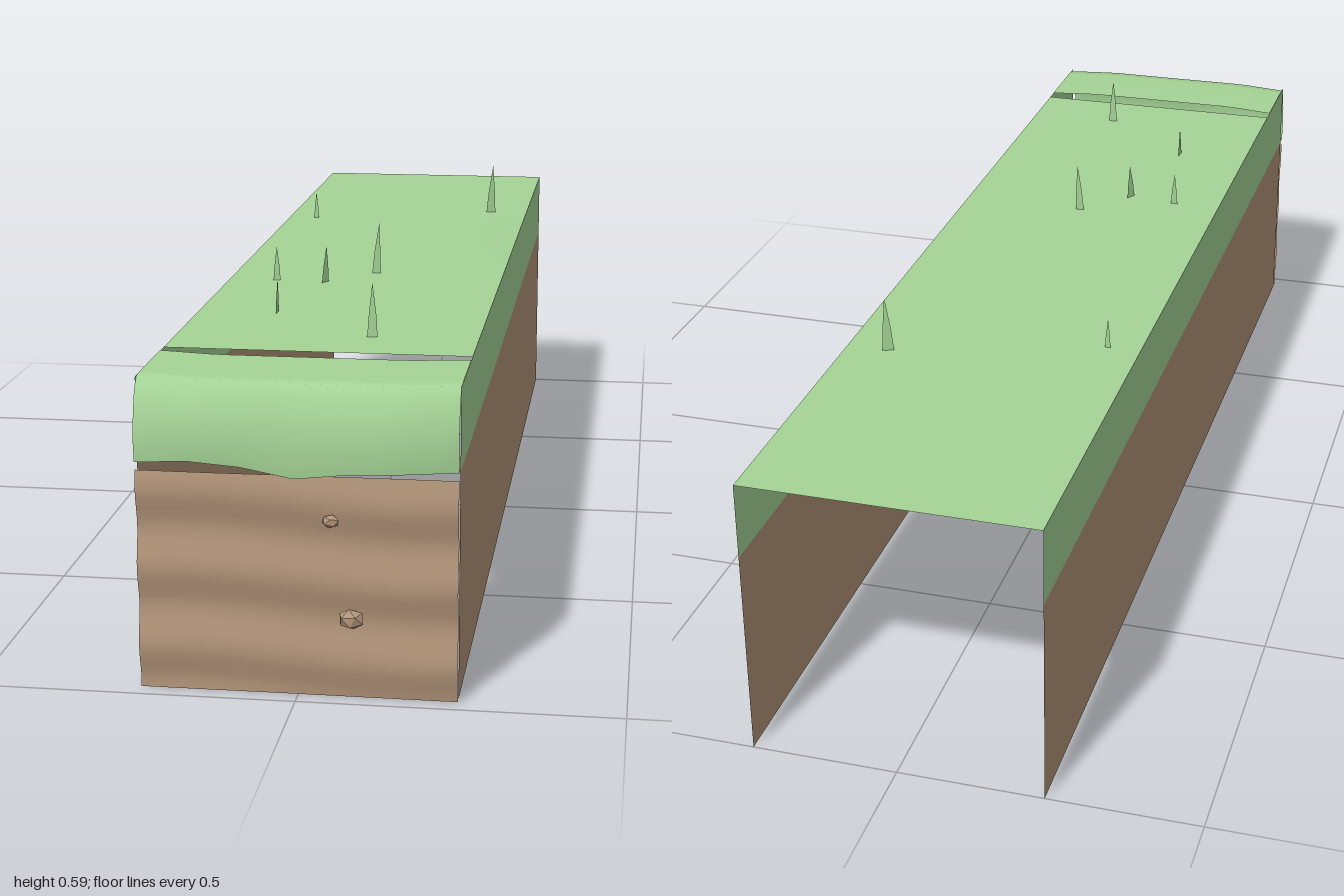
import * as THREE from 'three';

const HALF = 0.245, TOP = 0.49, BAND = 0.36;

// Surface from a rule fn(u, v) -> [x, y, z]; it faces along dv x du
function grid(nu, nv, fn) {
  const pos = [], idx = [];
  for (let j = 0; j <= nv; j++)
    for (let i = 0; i <= nu; i++) pos.push(...fn(i / nu, j / nv));
  for (let j = 0; j < nv; j++)
    for (let i = 0; i < nu; i++) {
      const a = j * (nu + 1) + i, b = a + 1, c = a + nu + 1, d = c + 1;
      idx.push(a, c, b, b, c, d);
    }
  const g = new THREE.BufferGeometry();
  g.setAttribute('position', new THREE.Float32BufferAttribute(pos, 3));
  g.setIndex(idx);
  g.computeVertexNormals();
  return g;
}

// Linear interpolation through [key, value] pairs
function sample(points, t) {
  for (let i = 1; i < points.length; i++) {
    const [a, p] = points[i - 1], [b, q] = points[i];
    if (t <= b) return p + (q - p) * (t - a) / (b - a);
  }
  return points[points.length - 1][1];
}

export function createModel() {
  const model = new THREE.Group();
  const material = (name, color) => {
    const m = new THREE.MeshStandardMaterial({ color, side: THREE.DoubleSide });
    m.name = name;
    return m;
  };
  const grass = material('grass green', 0xa5d496);
  const soil = material('soil brown', 0xb3957a);
  const add = (name, geometry, mat) => {
    const mesh = new THREE.Mesh(geometry, mat);
    mesh.name = name;
    model.add(mesh);
    return mesh;
  };
  const xAt = u => (u * 2 - 1) * HALF;

  // Turf sheet on top, very slightly raised in the middle
  add('turfTop', grid(8, 12, (u, v) => [
    xAt(u),
    TOP + 0.003 * Math.sin(Math.PI * u) * Math.sin(Math.PI * v),
    -1 + 1.77 * v]), grass);

  // Side walls: grass band over soil
  for (const s of [1, -1]) {
    const wall = (y0, y1) => grid(1, 1, (u, v) =>
      [s * HALF, y0 + (y1 - y0) * v, s > 0 ? 0.96 - 1.96 * u : -1 + 1.96 * u]);
    const side = s > 0 ? 'left' : 'right';
    add(side + 'GrassBand', wall(TOP, BAND), grass);
    add(side + 'SoilWall', wall(BAND, 0), soil);
  }

  // Rippled soil face at the front
  add('frontSoilFace', grid(8, 36, (u, v) => {
    const x = xAt(u), y = 0.35 * (1 - v);
    const phase = 2 * Math.PI * (y - 0.22) / 0.125 + 0.5 * Math.sin(x * 9);
    return [x, y, 0.975 - 0.005 * Math.sin(phase)];
  }), soil);

  // Overhanging turf lip with an uneven lower edge
  const hem = [[-0.245, 0.363], [-0.16, 0.372], [-0.08, 0.366], [0, 0.351],
    [0.09, 0.361], [0.245, 0.365]];
  const setBack = [[0, 0], [0.15, 0], [0.245, 0.016]];
  const profile = [[0.81, 1], [0.94, 1], [0.966, 0.985], [0.982, 0.86],
    [0.993, 0.6], [1, 0.3], [0.996, 0]];
  const last = profile.length - 1;
  add('turfLip', grid(18, last, (u, v) => {
    const x = xAt(u), [z, h] = profile[Math.round(v * last)];
    const low = sample(hem, x);
    return [x, low + (TOP + 0.001 - low) * h, z - sample(setBack, Math.abs(x))];
  }), grass);

  // Soil underside of the lip
  add('lipUnderside', grid(18, 1, (u, v) => {
    const x = xAt(u);
    return [x, sample(hem, x) - 0.004 * v,
      0.996 - sample(setBack, Math.abs(x)) - 0.09 * v];
  }), soil);

  // Grass blades: x, z, height, width, lean, turn
  const blades = [
    [0.17, -0.51, 0.1, 0.02, 0.004, 0.4], [-0.188, -0.4, 0.055, 0.01, 0, 0],
    [0.014, 0.165, 0.095, 0.016, 0.005, 0.2], [-0.157, 0.245, 0.063, 0.013, 0, 0.1],
    [-0.067, 0.255, 0.068, 0.02, 0.004, 1.05], [-0.11, 0.505, 0.06, 0.022, 0.004, 1.5],
    [0.073, 0.66, 0.09, 0.017, 0, 0.05]];
  for (const [x, z, h, w, lean, turn] of blades) {
    const shape = new THREE.Shape([[-w / 2, 0], [w / 2, 0], [w * 0.36 + lean * 0.3, h * 0.45],
      [lean, h], [-w * 0.32 + lean * 0.3, h * 0.45]].map(p => new THREE.Vector2(...p)));
    const blade = add('grassBlade', new THREE.ShapeGeometry(shape), grass);
    blade.position.set(x, TOP, z);
    blade.rotation.y = turn;
  }

  // Pebbles set in the soil face
  for (const [x, y, rx, ry, rz, turn] of [[0.053, 0.283, 0.014, 0.011, 0.01, 0.3],
    [0.084, 0.13, 0.021, 0.017, 0.014, 0.8]]) {
    const g = new THREE.IcosahedronGeometry(1, 0);
    g.rotateZ(turn).rotateY(turn);
    g.scale(rx, ry, rz);
    g.computeVertexNormals();
    add('pebble', g, soil).position.set(x, y, 0.982);
  }
  return model;
}
